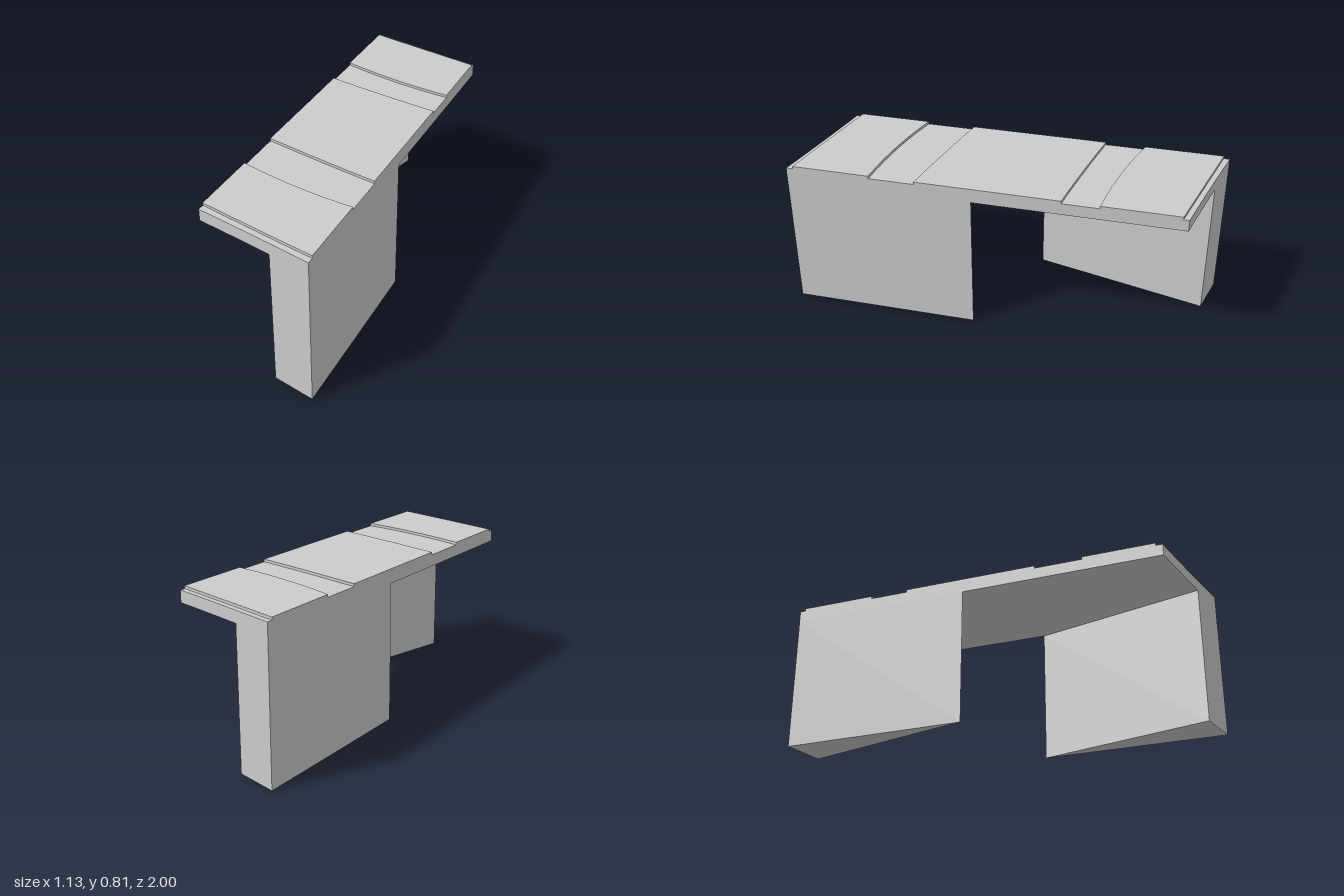
import * as THREE from 'three';

const SLANT = 0.2422; // sideways drift of the long edges per unit of z
const UNDERSIDE = 0.735, DECK = 0.797, TOP = 0.811;
const INNER = 0.337; // inner faces of the two legs

const leftX = z => -0.567 + (z + 0.99) * SLANT;
const rightX = z => 0.567 + (z - 0.99) * SLANT;

// Points of a shallow curve across the deck, through left, middle and right z
function crossLine([a, m, b], steps = 10) {
  return Array.from({ length: steps + 1 }, (_, i) => {
    const u = i / steps;
    const z = a * (1 - u) * (1 - 2 * u) + 4 * m * u * (1 - u) + b * u * (2 * u - 1);
    return [THREE.MathUtils.lerp(leftX(z), rightX(z), u), z];
  });
}

// Upright prism over a plan outline of [x, z] points
function prism(name, outline, y0, y1, material) {
  const shape = new THREE.Shape(outline.map(([x, z]) => new THREE.Vector2(x, -z)));
  const geometry = new THREE.ExtrudeGeometry(shape, { depth: y1 - y0, bevelEnabled: false });
  geometry.rotateX(-Math.PI / 2).translate(0, y0, 0);
  const mesh = new THREE.Mesh(geometry, material);
  mesh.name = name;
  return mesh;
}

const strip = (back, front) => [...crossLine(front), ...crossLine(back).reverse()];

export function createModel() {
  const model = new THREE.Group();
  model.name = 'slantedBridge';
  const material = new THREE.MeshStandardMaterial({ color: 0xcccccc });

  // Deck slab
  const backEnd = [-0.987, -0.991, -1.0], frontEnd = [0.998, 0.99, 0.987];
  model.add(prism('deck', strip(backEnd, frontEnd), UNDERSIDE, DECK, material));

  // Raised panels, separated by two shallow curved grooves
  const panels = [
    ['backPanel', [-0.957, -0.964, -0.972], [-0.56, -0.555, -0.585]],
    ['middlePanel', [-0.358, -0.375, -0.4], [0.344, 0.339, 0.326]],
    ['frontPanel', [0.593, 0.593, 0.557], [0.963, 0.959, 0.952]],
  ];
  for (const [name, back, front] of panels) {
    model.add(prism(name, strip(back, front), DECK, TOP, material));
  }

  // Wedge legs filling the two sharp corners under the deck
  const apex = 0.99 - (0.567 - INNER) / SLANT;
  const frontLeg = [[INNER, apex], [INNER, 0.988], ...crossLine(frontEnd).filter(([x]) => x > INNER)];
  const backLeg = [[-INNER, -apex], [-INNER, -0.989], ...crossLine(backEnd).filter(([x]) => x < -INNER).reverse()];
  model.add(prism('frontLeg', frontLeg, 0, UNDERSIDE, material));
  model.add(prism('backLeg', backLeg, 0, UNDERSIDE, material));

  return model;
}
